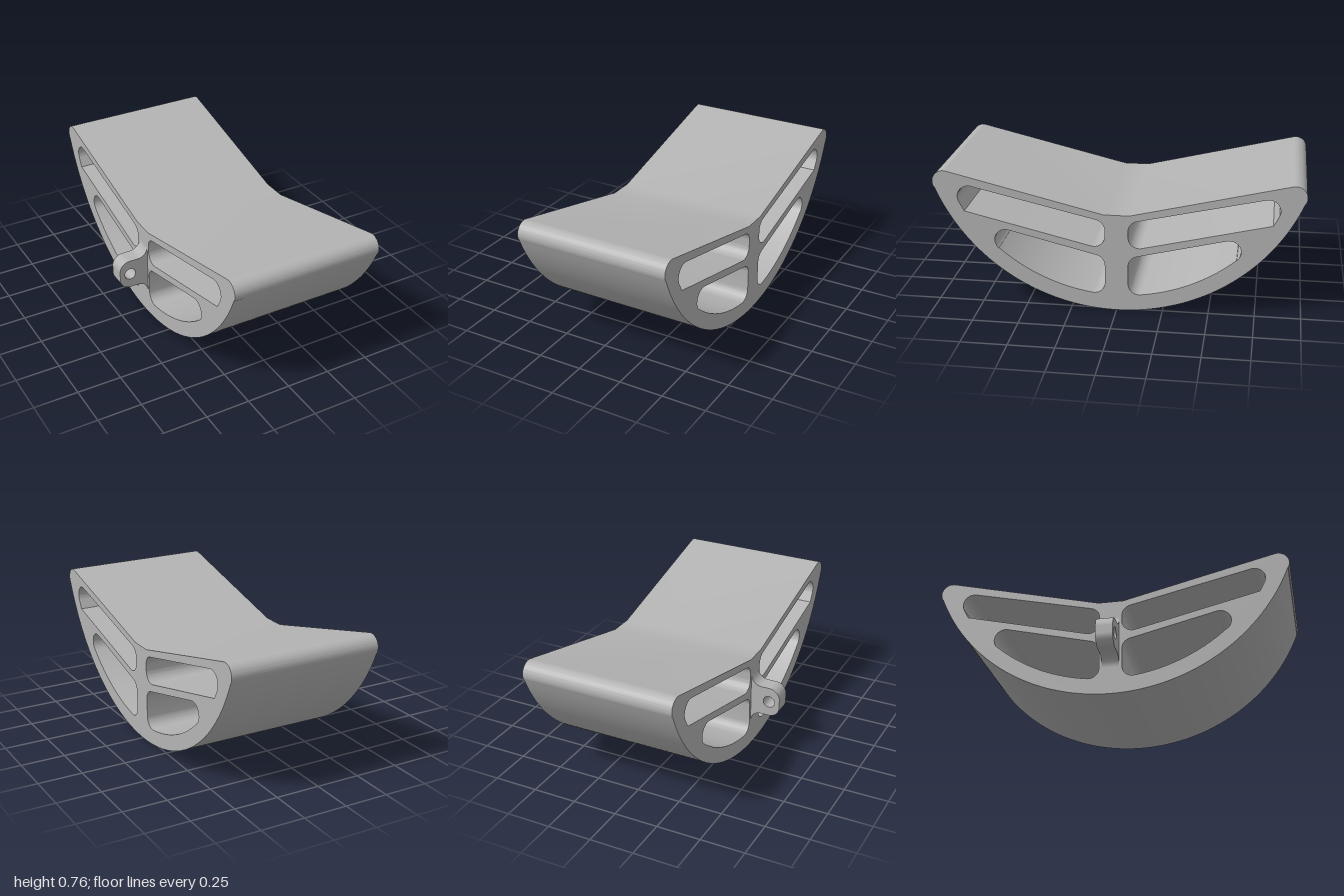
import * as THREE from 'three';
import { toCreasedNormals } from 'three/addons/utils/BufferGeometryUtils.js';

const grey = new THREE.MeshStandardMaterial({ color: 0xb4b4b4 });
grey.name = 'plain grey';

const rad = THREE.MathUtils.degToRad;
const arc = (path, x, y, r, from, to) =>
  path.absarc(x, y, r, rad(from), rad(to), to < from);

// Mirror a list of points across the centre line, keeping its order
const mirror = pts => pts.map(p => new THREE.Vector2(-p.x, p.y));

function extrude(shape, depth) {
  const geo = new THREE.ExtrudeGeometry(shape, { depth, bevelEnabled: false, curveSegments: 20 });
  return toCreasedNormals(geo, 0.35);
}

const RIM_Y = 1.066; // centre height of the curved underside
const CORNER_X = 0.1235; // centre of the rounded corners beside the middle web

// Half of the outer section: underside arc, rounded tip, sloping top
function outline() {
  const half = new THREE.Path();
  arc(half, 0, RIM_Y, 1.066, -90, -21.8);
  arc(half, 0.937, 0.7, 0.063, -28, 103.6);
  half.lineTo(0.07, 0.555);
  const pts = half.getPoints(28);
  return new THREE.Shape([...pts, ...mirror(pts).reverse().slice(0, -1)]);
}

// Long slot under the sloping top
function upperSlot() {
  const p = new THREE.Path();
  arc(p, 0.802, 0.619, 0.063, -30, 102.9);
  arc(p, CORNER_X, 0.466, 0.06, 102.9, 180);
  arc(p, CORNER_X, 0.43, 0.06, 180, 282.9);
  p.lineTo(0.83, 0.538);
  return p.getPoints(16);
}

// Slot that follows the curved underside
function lowerSlot() {
  const p = new THREE.Path();
  arc(p, 0.605, 0.378, 0.063, -48.7, 104);
  arc(p, CORNER_X, 0.263, 0.06, 104, 180);
  arc(p, CORNER_X, 0.157, 0.06, 180, 277.7);
  arc(p, 0, RIM_Y, 0.977, 277.7, 311.3);
  return p.getPoints(16);
}

// Ear with a hole, flared where it meets the body
function tabShape() {
  const s = new THREE.Shape();
  const base = -0.347, top = 0.391, bottom = 0.218, r = 0.062;
  s.moveTo(base, top + r);
  arc(s, base - r, top + r, r, 0, -90);
  arc(s, -0.458, top - r, r, 90, 180);
  arc(s, -0.458, bottom + r, r, 180, 270);
  arc(s, base - r, bottom - r, r, 90, 0);
  const hole = new THREE.Path();
  arc(hole, -0.457, 0.305, 0.034, 0, 360);
  s.holes.push(hole);
  return s;
}

export function createModel() {
  const group = new THREE.Group();
  group.name = 'curvedBracket';

  const section = outline();
  for (const slot of [upperSlot(), lowerSlot()])
    section.holes.push(new THREE.Path(slot), new THREE.Path(mirror(slot)));
  const body = new THREE.Mesh(extrude(section, 0.867), grey);
  body.geometry.rotateY(-Math.PI / 2).translate(0.52, 0, 0);
  body.name = 'body';

  const tab = new THREE.Mesh(extrude(tabShape(), 0.096), grey);
  tab.geometry.translate(0, 0, -0.048);
  tab.name = 'mountingTab';

  group.add(body, tab);
  return group;
}
